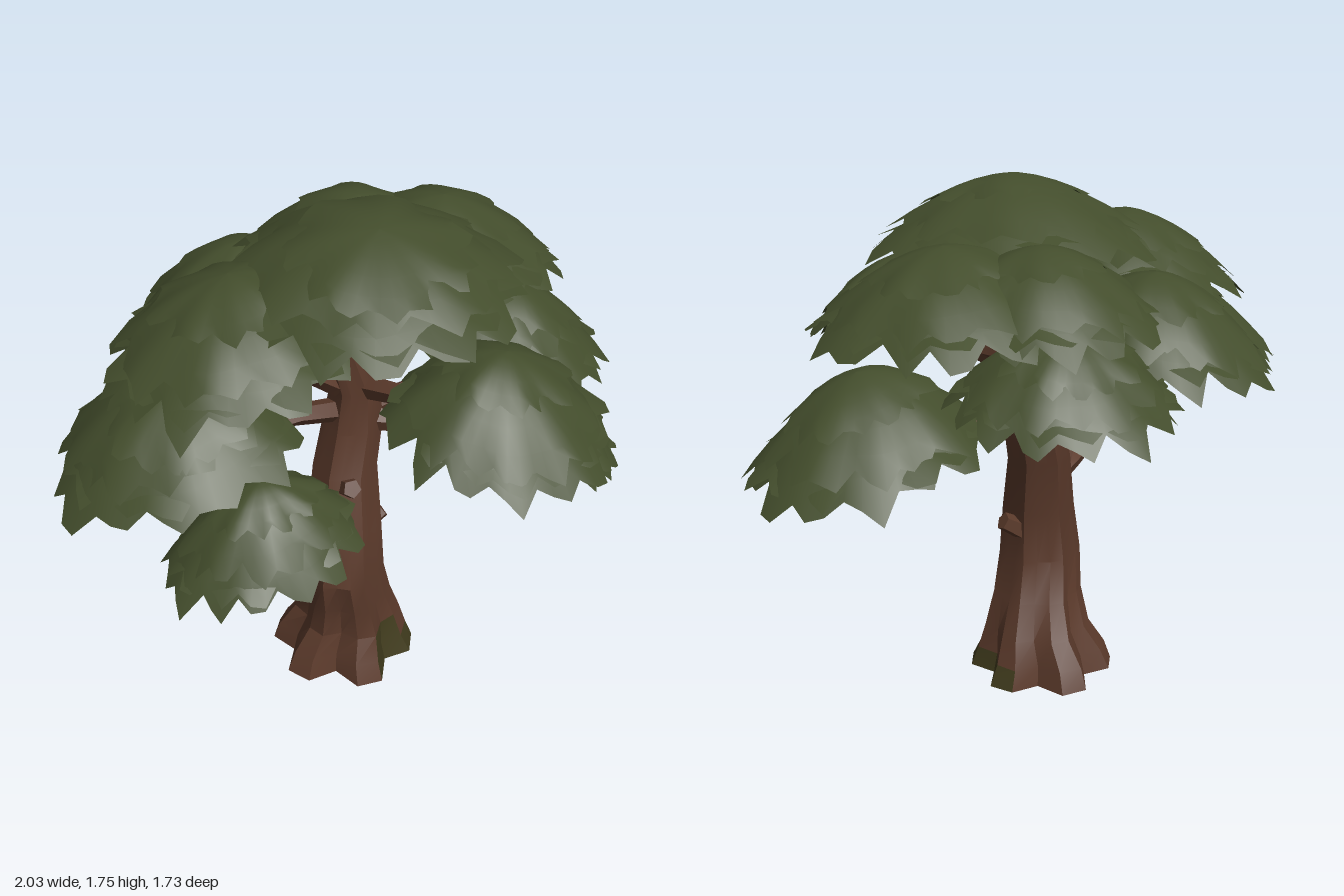
import * as THREE from 'three';
import { toCreasedNormals, mergeGeometries } from 'three/addons/utils/BufferGeometryUtils.js';

const bark = new THREE.MeshStandardMaterial({ color: 0x5b3a2b, side: THREE.DoubleSide });
bark.name = 'bark';
const moss = new THREE.MeshStandardMaterial({ color: 0x403b1d });
moss.name = 'moss';
const leaf = new THREE.MeshStandardMaterial({ color: 0x434d2c, side: THREE.DoubleSide });
leaf.name = 'leaf';

function seeded(seed) {
  return () => {
    seed = (seed * 16807) % 2147483647;
    return seed / 2147483647;
  };
}

// Trunk rings: height, centre x, centre z, radius, root flare
const rings = [
  [0, -0.075, 0.065, 0.235, 0.2], [0.07, -0.075, 0.065, 0.21, 0.18],
  [0.16, -0.06, 0.07, 0.172, 0.13], [0.28, -0.075, 0.095, 0.145, 0.09],
  [0.42, -0.1, 0.125, 0.132, 0.08], [0.6, -0.085, 0.105, 0.115, 0.07],
  [0.8, -0.06, 0.048, 0.1, 0.06], [0.95, -0.02, 0.015, 0.095, 0.06],
  [1.1, -0.015, 0.025, 0.078, 0.05], [1.25, -0.06, 0.035, 0.065, 0.04],
  [1.42, -0.09, 0.045, 0.05, 0], [1.6, -0.09, 0.09, 0.02, 0],
];

// Centre of the trunk at a height
function trunkCentre(y) {
  const j = rings.findIndex((r) => r[0] > y);
  const [y0, x0, z0] = rings[j - 1], [y1, x1, z1] = rings[j];
  const t = (y - y0) / (y1 - y0);
  return new THREE.Vector3(x0 + (x1 - x0) * t, y, z0 + (z1 - z0) * t);
}

// Fluted, slightly twisted trunk lofted through the rings
function makeTrunk() {
  const n = 18;
  const pos = [];
  for (const [y, cx, cz, r, flare] of rings) {
    for (let i = 0; i < n; i++) {
      const a = (i / n) * Math.PI * 2;
      const k = r * (1 - flare * Math.cos(6 * a + y * 1.5) + 0.03 * Math.sin(i * 5 + y * 4));
      pos.push(cx + Math.cos(a) * k, y, cz + Math.sin(a) * k);
    }
  }
  pos.push(-0.075, 0, 0.065);
  const barkFaces = [], mossFaces = [];
  for (let j = 0; j < rings.length - 1; j++) {
    for (let i = 0; i < n; i++) {
      const a = j * n + i, b = j * n + ((i + 1) % n);
      // moss low on the left roots, in the front groove and on a knot high up
      const mossy = (j === 0 && (i < 4 || i > 15)) || (j === 1 && (i === 2 || i === 3)) || (j === 9 && i === 1);
      (mossy ? mossFaces : barkFaces).push(a, a + n, b, b, a + n, b + n);
    }
  }
  for (let i = 0; i < n; i++) mossFaces.push(rings.length * n, i, (i + 1) % n);
  const g = new THREE.BufferGeometry();
  g.setAttribute('position', new THREE.Float32BufferAttribute(pos, 3));
  g.setIndex([...barkFaces, ...mossFaces]);
  g.addGroup(0, barkFaces.length, 0);
  g.addGroup(barkFaces.length, mossFaces.length, 1);
  const mesh = new THREE.Mesh(toCreasedNormals(g, 0.4), [bark, moss]);
  mesh.name = 'trunk';
  return mesh;
}

// Tapered five-sided limb through a few points
function limbGeometry(points, r0, r1) {
  const curve = new THREE.CatmullRomCurve3(points, false, 'catmullrom', 0.25);
  const steps = 7, sides = 5;
  const g = new THREE.TubeGeometry(curve, steps, r0, sides);
  const p = g.attributes.position, v = new THREE.Vector3();
  for (let i = 0; i < p.count; i++) {
    const t = Math.floor(i / (sides + 1)) / steps;
    const c = curve.getPointAt(t);
    v.fromBufferAttribute(p, i).sub(c).multiplyScalar(1 + (r1 / r0 - 1) * t).add(c);
    p.setXYZ(i, v.x, v.y, v.z);
  }
  return toCreasedNormals(g, 0.5);
}

// Branch that leaves the trunk, runs out to an elbow, then rises into its clump, with a forked twig
function makeBranch(name, [cx, top, cz], startY, elbowY) {
  const start = trunkCentre(startY);
  const tip = new THREE.Vector3(cx, top - 0.08, cz);
  const elbow = start.clone().lerp(tip, 0.8).setY(elbowY);
  const fork = start.clone().lerp(elbow, 0.5);
  fork.y += 0.03;
  const twigTip = start.clone().lerp(tip, 0.75).setY(top - 0.1);
  const twigBend = fork.clone().lerp(twigTip, 0.5);
  twigBend.y -= 0.03;
  const mesh = new THREE.Mesh(mergeGeometries([
    limbGeometry([start, fork, elbow, tip], 0.045, 0.014),
    limbGeometry([fork, twigBend, twigTip], 0.024, 0.012),
  ]), bark);
  mesh.name = name;
  return mesh;
}

// Snapped-off stub pointing along a direction
function makeStub(name, at, dir) {
  const mesh = new THREE.Mesh(new THREE.CylinderGeometry(0.032, 0.045, 0.14, 5).toNonIndexed(), bark);
  mesh.geometry.computeVertexNormals();
  mesh.position.set(...at);
  mesh.quaternion.setFromUnitVectors(new THREE.Vector3(0, 1, 0), new THREE.Vector3(...dir).normalize());
  mesh.name = name;
  return mesh;
}

// One ragged dome of leaves; s is its share of the clump, lift its offset, depth its share of the height
function leafLayer([cx, top, cz, rx, rz, h], s, lift, depth, rand) {
  const n = 42, rows = 5, teeth = [1.03, 0.98, 0.9];
  const out = Math.hypot(cx, cz);
  const droop = 0.07 * Math.min(1, out * 1.5);
  const phase = rand() * 6.28, lobes = 6 + Math.floor(rand() * 3);
  const dx = (rand() - 0.5) * (1 - s) * 0.9, dz = (rand() - 0.5) * (1 - s) * 0.9;
  const pos = [], index = [];
  for (let j = 0; j <= rows; j++) {
    const f = j / rows;
    for (let i = 0; i < n; i++) {
      const a = (i / n) * Math.PI * 2;
      const wave = f * f * f * (Math.cos(lobes * a + phase) + 0.6 * Math.cos(3 * a - phase));
      let t = f * s * (1 + 0.05 * wave);
      if (j === rows) t *= teeth[i % 3] + (rand() - 0.5) * 0.08;
      const ux = Math.cos(a) * t + dx, uz = Math.sin(a) * t + dz;
      const drop = depth * h * Math.pow(Math.hypot(ux, uz), 1.75) + droop * (ux * cx + uz * cz) / out;
      pos.push(cx + ux * rx, top - drop + lift + 0.01 * wave, cz + uz * rz);
      if (j < rows) {
        const p = j * n + i, q = j * n + ((i + 1) % n);
        if (j) index.push(p, q, p + n);
        index.push(q, q + n, p + n);
      }
    }
  }
  const g = new THREE.BufferGeometry();
  g.setAttribute('position', new THREE.Float32BufferAttribute(pos, 3));
  g.setIndex(index);
  g.computeVertexNormals();
  return g;
}

// Clump: a skirt, two overlapping caps and a shallower underside
function makeClump(name, dome, seed) {
  const rand = seeded(seed);
  const layers = [[1, -0.022, 1], [0.84, -0.008, 1], [0.6, 0, 1], [0.93, -0.4 * dome[5], 0.6]];
  const mesh = new THREE.Mesh(mergeGeometries(layers.map((l) => leafLayer(dome, ...l, rand))), leaf);
  mesh.name = name;
  return mesh;
}

export function createModel() {
  const tree = new THREE.Group();
  tree.name = 'tree';
  tree.add(makeTrunk());
  tree.add(makeStub('leftStub', [0.01, 0.54, 0.07], [1, 0.6, 0]));
  tree.add(makeStub('frontStub', [-0.085, 0.76, 0.12], [0, 0.6, 1]));

  // name, dome [centre x, top y, centre z, radius x, radius z, height], branch start and elbow heights
  const clumps = [
    ['crown', [0, 1.755, 0.13, 0.46, 0.46, 0.21], 1.36, 1.45],
    ['upperRight', [-0.42, 1.62, 0.1, 0.39, 0.39, 0.22], 1.07, 1.27],
    ['upperLeft', [0.38, 1.6, -0.2, 0.39, 0.4, 0.21], 1.1, 1.3],
    ['upperBack', [0.12, 1.6, -0.34, 0.36, 0.34, 0.2], 1.15, 1.35],
    ['back', [0.15, 1.41, -0.54, 0.34, 0.31, 0.21], 1.08, 1.13],
    ['backRight', [-0.28, 1.49, -0.34, 0.36, 0.36, 0.24], 1.1, 1.22],
    ['right', [-0.64, 1.38, 0.15, 0.37, 0.36, 0.24], 1, 1.07],
    ['lowRight', [-0.45, 1.05, 0.35, 0.31, 0.24, 0.23], 0.58, 0.71],
    ['left', [0.63, 1.25, -0.17, 0.37, 0.36, 0.25], 0.97, 0.91],
    ['lowLeft', [0.61, 1.05, 0.3, 0.21, 0.16, 0.18], 0.96, 0.87],
    ['front', [0.24, 1.45, 0.53, 0.34, 0.31, 0.22], 1.1, 1.15],
  ];
  clumps.forEach(([name, dome, startY, elbowY], i) => {
    tree.add(makeClump(name + 'Leaves', dome, 1234 + i * 7919));
    tree.add(makeBranch(name + 'Branch', dome, startY, elbowY));
  });
  return tree;
}
